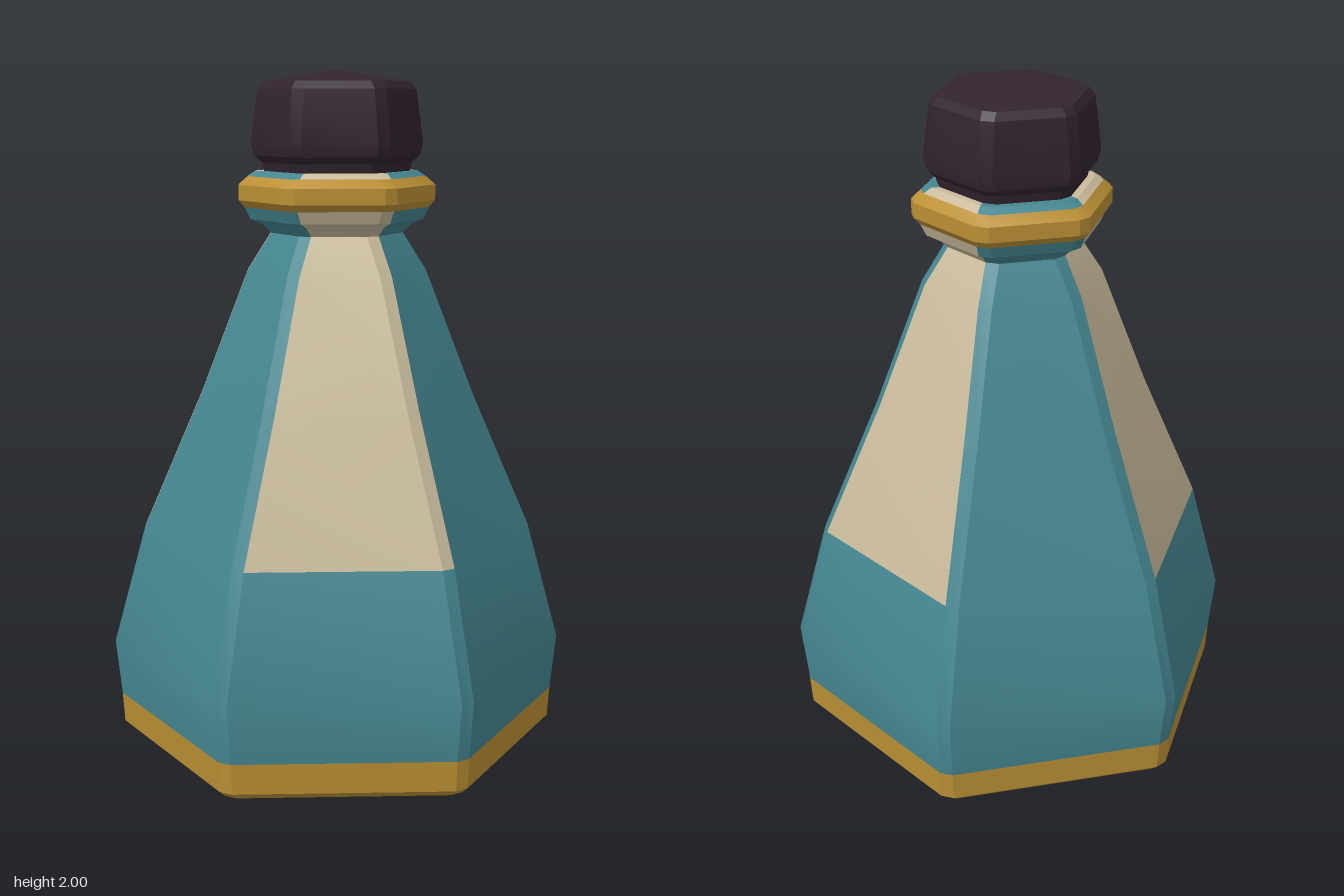
import * as THREE from 'three';
import { toCreasedNormals } from 'three/addons/utils/BufferGeometryUtils.js';

const mat = (name, color) => {
  const m = new THREE.MeshStandardMaterial({ color });
  m.name = name;
  return m;
};

// Hexagon with narrow bevelled corners; even sides are faces, odd sides are bevels.
function hexRing(apothem, y) {
  const half = apothem * Math.tan(Math.PI / 6);
  const t = half - Math.min(0.023, half * 0.5);
  const points = [];
  for (let k = 0; k < 6; k++) {
    const c = Math.cos(k * Math.PI / 3), s = Math.sin(k * Math.PI / 3);
    for (const d of [-t, t]) points.push(new THREE.Vector3(apothem * c - d * s, y, apothem * s + d * c));
  }
  return points;
}

// Skin a profile of [apothem, y]; pick(row, side) gives the material index.
function hexLoft(name, profile, materials, pick) {
  const rings = profile.map(([a, y]) => hexRing(a, y));
  const buckets = materials.map(() => []);
  for (let r = 0; r < rings.length - 1; r++) {
    for (let i = 0; i < 12; i++) {
      const j = (i + 1) % 12;
      const a = rings[r][i], b = rings[r][j], c = rings[r + 1][j], d = rings[r + 1][i];
      buckets[pick(r, i)].push(a, d, c, a, c, b);
    }
  }
  const geometry = new THREE.BufferGeometry().setFromPoints(buckets.flat());
  let start = 0;
  buckets.forEach((bucket, m) => {
    geometry.addGroup(start, bucket.length, m);
    start += bucket.length;
  });
  const mesh = new THREE.Mesh(toCreasedNormals(geometry, 0.42), materials);
  mesh.name = name;
  return mesh;
}

export function createModel() {
  const teal = mat('teal glaze', 0x458791);
  const cream = mat('cream panel', 0xcabc9c);
  const gold = mat('gold trim', 0xbb9035);
  const plum = mat('dark plum stopper', 0x32242f);

  const group = new THREE.Group();
  group.name = 'hexagonalBottle';

  // Foot trim with closed underside
  group.add(hexLoft('footTrim', [[0.001, 0], [0.56, 0], [0.58, 0.02], [0.585, 0.11]], [gold], () => 0));

  // Body, neck and flared lip; alternate sides carry cream panels above the shoulder
  const creamSides = [0, 3, 4, 7, 8];
  const body = [
    [0.585, 0.11], [0.6, 0.28], [0.515, 0.64], [0.362, 1.05], [0.238, 1.42],
    [0.178, 1.53], [0.2, 1.555], [0.23, 1.57], [0.245, 1.605],
  ];
  group.add(hexLoft('body', body, [teal, cream], (row, side) => (row >= 2 && creamSides.includes(side) ? 1 : 0)));

  // Gold collar around the lip
  group.add(hexLoft('collar', [[0.245, 1.605], [0.26, 1.625], [0.26, 1.67], [0.235, 1.695]], [gold], () => 0));

  // Top of the lip, continuing the panel colours
  group.add(hexLoft('lipTop', [[0.235, 1.695], [0.215, 1.71], [0.18, 1.71]], [teal, cream],
    (row, side) => (creamSides.includes(side) ? 1 : 0)));

  // Faceted stopper
  const stopper = [
    [0.19, 1.69], [0.2, 1.735], [0.22, 1.755], [0.228, 1.79],
    [0.21, 1.945], [0.195, 1.967], [0.001, 2],
  ];
  group.add(hexLoft('stopper', stopper, [plum], () => 0));

  return group;
}
